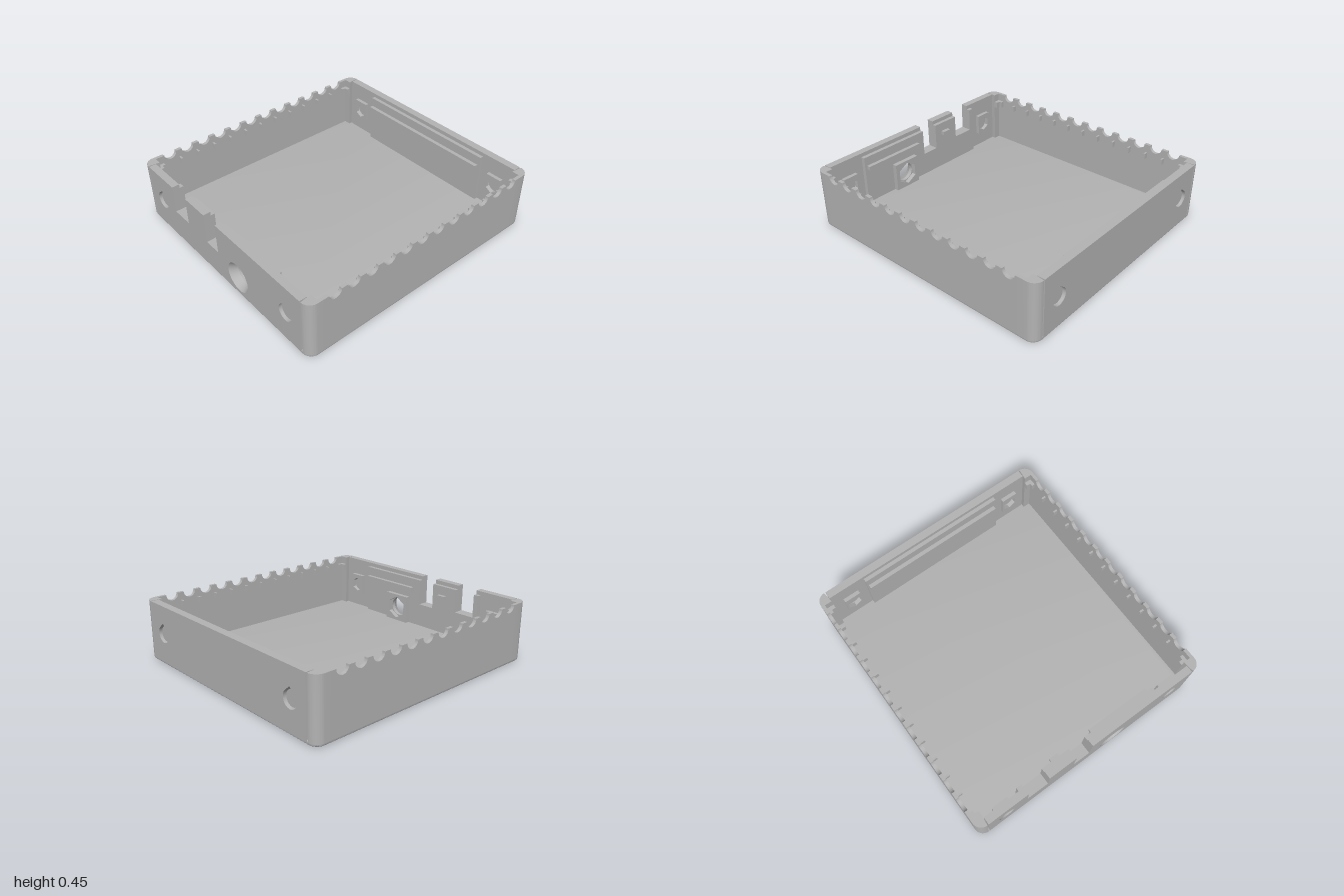
import * as THREE from 'three';
import { toCreasedNormals } from 'three/addons/utils/BufferGeometryUtils.js';

const TOP = 0.45, BASE = 0.02, FLOOR = 0.04, PORT_Y = 0.235, PORT_Z = 0.715;
const NOTCHES = Array.from({ length: 12 }, (_, i) => -0.797 + i * 0.145);
const SLOTS = [[-0.54, -0.37, 0.24], [-0.145, -0.01, 0.22]]; // z from, z to, bottom
const JACK = { z: 0.21, y: 0.15 };

export function createModel() {
  const group = new THREE.Group();
  const grey = new THREE.MeshStandardMaterial({ color: 0xb3b3b3 });
  grey.name = 'grey plastic';

  const add = (name, geometry) => {
    const mesh = new THREE.Mesh(geometry, grey);
    mesh.name = name;
    group.add(mesh);
    return mesh;
  };
  const extrude = (shape, depth, extra = {}) => toCreasedNormals(
    new THREE.ExtrudeGeometry(shape, { depth, bevelEnabled: false, curveSegments: 16, ...extra }), 0.6);
  // box given by its limits
  const block = (name, x0, x1, y0, y1, z0, z1) => add(name,
    new THREE.BoxGeometry(x1 - x0, y1 - y0, z1 - z0)
      .translate((x0 + x1) / 2, (y0 + y1) / 2, (z0 + z1) / 2));
  // plate drawn in (z, y), spanning x0 to x1
  const sidePlate = (name, shape, x0, x1) =>
    add(name, extrude(shape, x1 - x0).rotateY(-Math.PI / 2).translate(x1, 0, 0));
  const polygon = (pts) => new THREE.Shape(pts.map(([x, y]) => new THREE.Vector2(x, y)));
  const ring = (cx, cy, r, sides, turn = 0) => new THREE.Path(
    Array.from({ length: sides }, (_, i) => {
      const a = turn + i / sides * Math.PI * 2;
      return new THREE.Vector2(cx + r * Math.cos(a), cy + r * Math.sin(a));
    }));
  const rect = (z0, z1, y0, y1) => polygon([[z0, y0], [z1, y0], [z1, y1], [z0, y1]]);
  const teardrop = (z) => {
    const p = new THREE.Path();
    p.absarc(z, PORT_Y, 0.063, Math.PI * 0.72, Math.PI * 2.28, false);
    p.lineTo(z, PORT_Y + 0.082);
    p.closePath();
    return p;
  };
  // wall outline in (z, y), optionally with the connector slots cut from the top
  const wallShape = (half, top, slots) => {
    const pts = [[half, BASE], [half, top]];
    for (const [a, b, bottom] of [...slots].reverse()) {
      pts.push([b, top], [b, bottom], [a, bottom], [a, top]);
    }
    return polygon([...pts, [-half, top], [-half, BASE]]);
  };

  // floor with bevelled lower edge
  const floor = new THREE.Shape();
  const fx = 0.98, fz = 0.92, fr = 0.05;
  floor.moveTo(fx, -fz + fr);
  floor.absarc(fx - fr, fz - fr, fr, 0, Math.PI / 2);
  floor.absarc(-fx + fr, fz - fr, fr, Math.PI / 2, Math.PI);
  floor.absarc(-fx + fr, -fz + fr, fr, Math.PI, Math.PI * 1.5);
  floor.absarc(fx - fr, -fz + fr, fr, Math.PI * 1.5, Math.PI * 2);
  add('floor', extrude(floor, 0.001, {
    bevelEnabled: true, bevelSize: 0.02, bevelThickness: 0.0195, bevelSegments: 3,
  }).rotateX(-Math.PI / 2).translate(0, 0.0195, 0));

  // rounded corner posts and their stepped inner brackets
  const post = new THREE.Shape();
  post.moveTo(1, 0.86);
  post.absarc(0.93, 0.87, 0.07, 0, Math.PI / 2);
  for (const [x, z] of [[0.86, 0.94], [0.86, 0.915], [0.915, 0.915], [0.915, 0.86]]) post.lineTo(x, z);
  const step = polygon([[0.915, 0.86], [0.915, 0.915], [0.86, 0.915], [0.86, 0.89], [0.885, 0.89], [0.885, 0.86]]);
  for (const sx of [-1, 1]) for (const sz of [-1, 1]) {
    const corner = add('cornerPost', extrude(post, TOP - BASE).rotateX(Math.PI / 2).translate(0, TOP, 0));
    const bracket = add('cornerBracket', extrude(step, 0.05).rotateX(Math.PI / 2).translate(0, 0.39, 0));
    corner.scale.set(sx, 1, sz);
    bracket.scale.set(sx, 1, sz);
  }

  // front and back walls with round notches, and pegs between the notches
  const notched = new THREE.Shape();
  notched.moveTo(-0.86, BASE);
  notched.lineTo(0.86, BASE);
  notched.lineTo(0.86, TOP);
  for (const x of [...NOTCHES].reverse()) notched.absarc(x, TOP, 0.049, 0, Math.PI, true);
  notched.lineTo(-0.86, TOP);
  for (const [name, z, s] of [['frontWall', 0.915, 1], ['backWall', -0.94, -1]]) {
    add(name, extrude(notched, 0.025).translate(0, 0, z));
    for (const n of NOTCHES.slice(0, -1)) {
      const x = n + 0.0725, a = s * 0.882, b = s * 0.916;
      block('peg', x - 0.007, x + 0.007, 0.345, 0.39, Math.min(a, b), Math.max(a, b));
    }
  }

  // side walls with teardrop ports, and the lower inner panels
  const rightWall = wallShape(0.86, TOP, []);
  const leftWall = wallShape(0.86, TOP, SLOTS);
  for (const w of [rightWall, leftWall]) w.holes.push(teardrop(PORT_Z), teardrop(-PORT_Z));
  leftWall.holes.push(ring(JACK.z, JACK.y, 0.11, 40));
  sidePlate('plainSideWall', rightWall, 0.942, 1);
  sidePlate('connectorSideWall', leftWall, -1, -0.945);
  sidePlate('plainInnerPanel', wallShape(0.58, 0.42, []), 0.913, 0.942);
  const leftPanel = wallShape(0.58, 0.42, SLOTS);
  leftPanel.holes.push(ring(JACK.z, JACK.y, 0.075, 40));
  sidePlate('connectorInnerPanel', leftPanel, -0.945, -0.915);

  // port plugs and hexagonal nut holders
  for (const s of [-1, 1]) for (const z of [-PORT_Z, PORT_Z]) {
    add('portPlug', new THREE.CylinderGeometry(0.056, 0.056, 0.03, 32)
      .rotateZ(Math.PI / 2).translate(s * 0.965, PORT_Y, z));
    const holder = rect(z - 0.063, z + 0.063, PORT_Y - 0.075, PORT_Y + 0.085);
    holder.holes.push(ring(z, PORT_Y, 0.058, 6, Math.PI / 6));
    if (s > 0) sidePlate('nutHolder', holder, 0.913, 0.942);
    else sidePlate('nutHolder', holder, -0.945, -0.915);
  }

  // conical jack opening with its nut block
  add('jackCone', new THREE.LatheGeometry(
    [new THREE.Vector2(0.075, 0.055), new THREE.Vector2(0.11, 0)], 40)
    .rotateZ(-Math.PI / 2).translate(-1, JACK.y, JACK.z));
  const nutBlock = rect(JACK.z - 0.11, JACK.z + 0.11, FLOOR, JACK.y + 0.11);
  nutBlock.holes.push(ring(JACK.z, JACK.y, 0.09, 6, Math.PI / 6));
  sidePlate('jackNutBlock', nutBlock, -0.915, -0.88);

  // horizontal rails and the small clip
  block('plainSideRail', 0.883, 0.914, 0.32, 0.35, -0.57, 0.56);
  block('connectorSideRail', -0.916, -0.885, 0.32, 0.35, 0.06, 0.56);
  block('connectorClip', -0.916, -0.885, 0.32, 0.35, -0.28, -0.21);
  return group;
}
